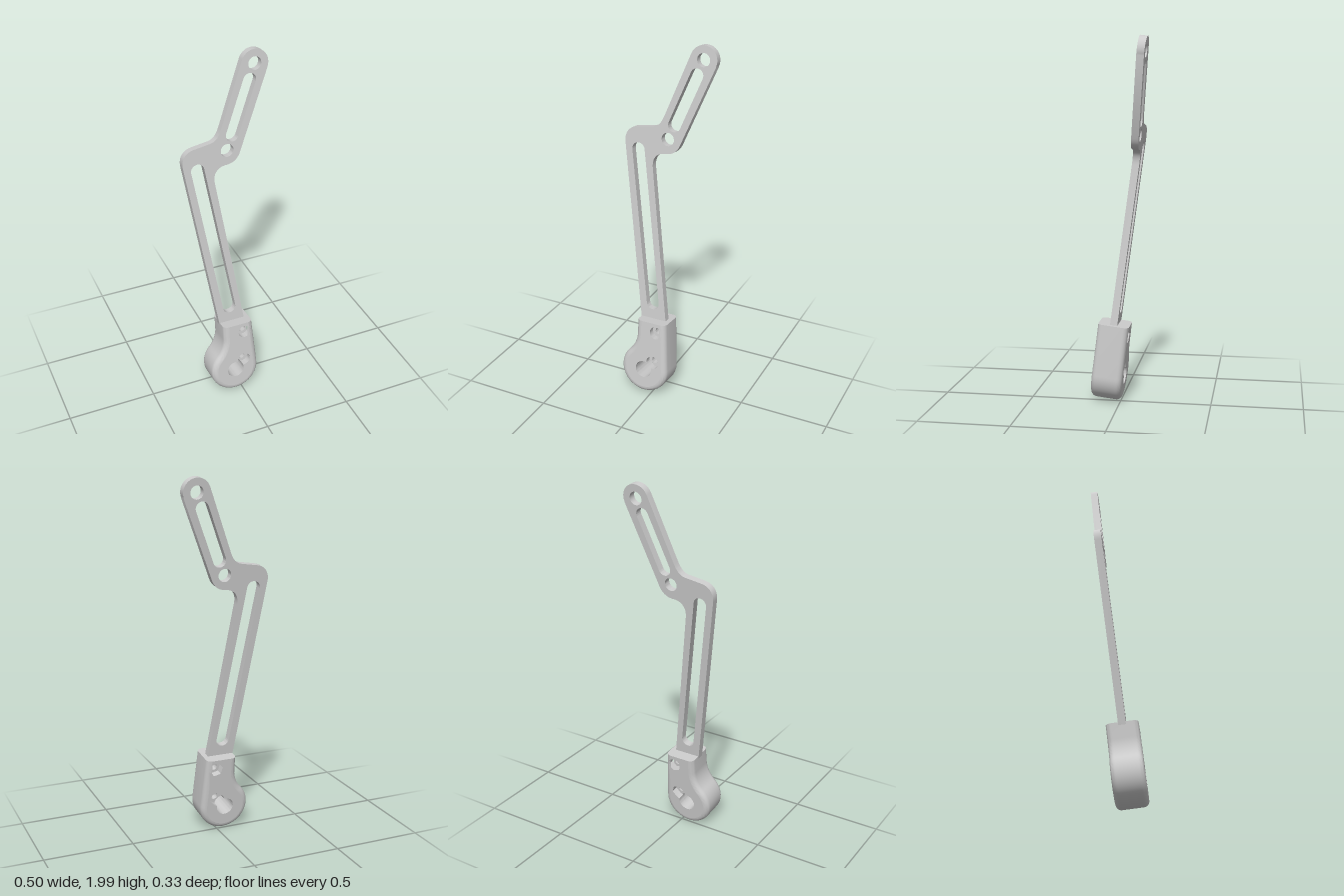
import * as THREE from 'three';
import { toCreasedNormals } from 'three/addons/utils/BufferGeometryUtils.js';

const material = new THREE.MeshStandardMaterial({ color: 0xcccccc });
const V = (x, y) => new THREE.Vector2(x, y);

function addMesh(parent, name, geometry) {
  const mesh = new THREE.Mesh(toCreasedNormals(geometry, 0.6), material);
  mesh.name = name;
  parent.add(mesh);
  return mesh;
}

// Regular polygon or circle, counter-clockwise from a start angle
function ring(c, r, n, start = 0) {
  return Array.from({ length: n }, (_, i) => {
    const a = start + (i / n) * Math.PI * 2;
    return V(c.x + r * Math.cos(a), c.y + r * Math.sin(a));
  });
}

// Rounded slot between two centres
function slot(a, b, r) {
  const dir = Math.atan2(b.y - a.y, b.x - a.x);
  const path = new THREE.Path();
  path.absarc(a.x, a.y, r, dir + Math.PI / 2, dir + Math.PI * 1.5, false);
  path.absarc(b.x, b.y, r, dir - Math.PI / 2, dir + Math.PI / 2, false);
  path.closePath();
  return path;
}

const boltTop = V(0.022, 0.393), boltLow = V(0.01, 0.207);
const shaft = V(-0.043, 0.152), shaftR = 0.049;
const TOP = 0.448, HALF = 0.085, FILLET = 0.03, POCKET = 0.045;

// Clamp outline, shrunk by an inset everywhere except at the flat top
function clampOutline(inset) {
  const pts = [V(0.075 - inset, TOP), V(-0.1 + inset, TOP)];
  const join = 2.388, end = Math.PI * 2 + 0.08;
  for (let i = 0; i <= 12; i++) {
    const a = (join - Math.PI) * (i / 12), r = 0.167 + inset;
    pts.push(V(-0.267 + r * Math.cos(a), 0.362 + r * Math.sin(a)));
  }
  for (let i = 1; i <= 36; i++) {
    const a = join + (end - join) * (i / 36), r = 0.14 - inset;
    pts.push(V(shaft.x + r * Math.cos(a), shaft.y + r * Math.sin(a)));
  }
  return pts;
}

// Rounded outer skin of the clamp, lofted through inset outlines
function clampSkin() {
  const sections = [];
  for (let i = 0; i <= 6; i++) {
    const a = (i / 6) * Math.PI / 2;
    sections.push([FILLET * (1 - Math.sin(a)), HALF - FILLET * (1 - Math.cos(a))]);
  }
  sections.push(...sections.map(([inset, z]) => [inset, -z]).reverse());
  const positions = [], index = [];
  let n = 0;
  for (const [inset, z] of sections) {
    const pts = clampOutline(inset);
    n = pts.length;
    pts.forEach(p => positions.push(p.x, p.y, z));
  }
  for (let k = 0; k < sections.length - 1; k++) {
    for (let j = 0; j < n; j++) {
      const a = k * n + j, b = k * n + (j + 1) % n;
      index.push(a, a + n, b, b, a + n, b + n);
    }
  }
  const g = new THREE.BufferGeometry();
  g.setAttribute('position', new THREE.Float32BufferAttribute(positions, 3));
  g.setIndex(index);
  return g;
}

// Slice of the clamp core with its shaft and bolt openings
function clampLayer(z0, z1, boltR, sides) {
  const shape = new THREE.Shape(clampOutline(FILLET));
  const toBolt = Math.atan2(boltLow.y - shaft.y, boltLow.x - shaft.x);
  const big = ring(shaft, shaftR, 40, toBolt);
  const small = ring(boltLow, boltR, sides, toBolt + Math.PI);
  if (shaft.distanceTo(boltLow) < shaftR + boltR) {
    // The low bolt pocket runs into the shaft hole
    shape.holes.push(new THREE.Path([
      ...big.filter(p => p.distanceTo(boltLow) > boltR),
      ...small.filter(p => p.distanceTo(shaft) > shaftR)]));
  } else {
    shape.holes.push(new THREE.Path(big), new THREE.Path(small));
  }
  shape.holes.push(new THREE.Path(ring(boltTop, boltR, sides, toBolt)));
  const g = new THREE.ExtrudeGeometry(shape, { depth: z1 - z0, bevelEnabled: false });
  return g.translate(0, 0, z0);
}

// Flat cranked arm with slots and holes
function armGeometry() {
  const s = new THREE.Shape();
  s.moveTo(0.075, 0.26);
  s.lineTo(0.047, 0.45);
  s.lineTo(-0.079, 1.315);
  s.bezierCurveTo(-0.087, 1.37, -0.06, 1.4, -0.015, 1.405);
  s.bezierCurveTo(0.035, 1.405, 0.062, 1.43, 0.077, 1.475);
  s.lineTo(0.245, 1.895);
  s.absarc(0.175, 1.925, 0.075, -0.38, Math.PI - 0.38, false);
  s.lineTo(-0.028, 1.605);
  s.bezierCurveTo(-0.045, 1.565, -0.06, 1.545, -0.1, 1.54);
  s.lineTo(-0.185, 1.527);
  s.bezierCurveTo(-0.23, 1.52, -0.257, 1.485, -0.25, 1.435);
  s.lineTo(-0.1, 0.43);
  s.lineTo(-0.075, 0.26);
  s.closePath();
  s.holes.push(
    slot(V(-0.037, 0.537), V(-0.17, 1.405), 0.037),
    slot(V(0.033, 1.565), V(0.143, 1.843), 0.036),
    new THREE.Path(ring(V(0.175, 1.925), 0.036, 32)),
    new THREE.Path(ring(V(0, 1.485), 0.036, 32)),
    new THREE.Path(ring(boltTop, 0.021, 24)));
  const g = new THREE.ExtrudeGeometry(s, { depth: 0.04, bevelEnabled: false, curveSegments: 12 });
  return g.translate(0, 0, -0.02);
}

export function createModel() {
  const model = new THREE.Group();
  model.name = 'crankedLever';

  // Everything leans back slightly
  const lean = new THREE.Group();
  lean.name = 'leaningLever';
  lean.rotation.x = -0.116;
  lean.position.z = 0.084;
  model.add(lean);

  addMesh(lean, 'arm', armGeometry()).scale.y = 1.005;

  const clamp = new THREE.Group();
  clamp.name = 'clamp';
  lean.add(clamp);
  addMesh(clamp, 'clampSkin', clampSkin());
  addMesh(clamp, 'boltHeadPockets', clampLayer(POCKET, HALF, 0.037, 32));
  addMesh(clamp, 'clampCore', clampLayer(-POCKET, POCKET, 0.02, 24));
  addMesh(clamp, 'hexNutPockets', clampLayer(-HALF, -POCKET, 0.04, 6));

  return model;
}
